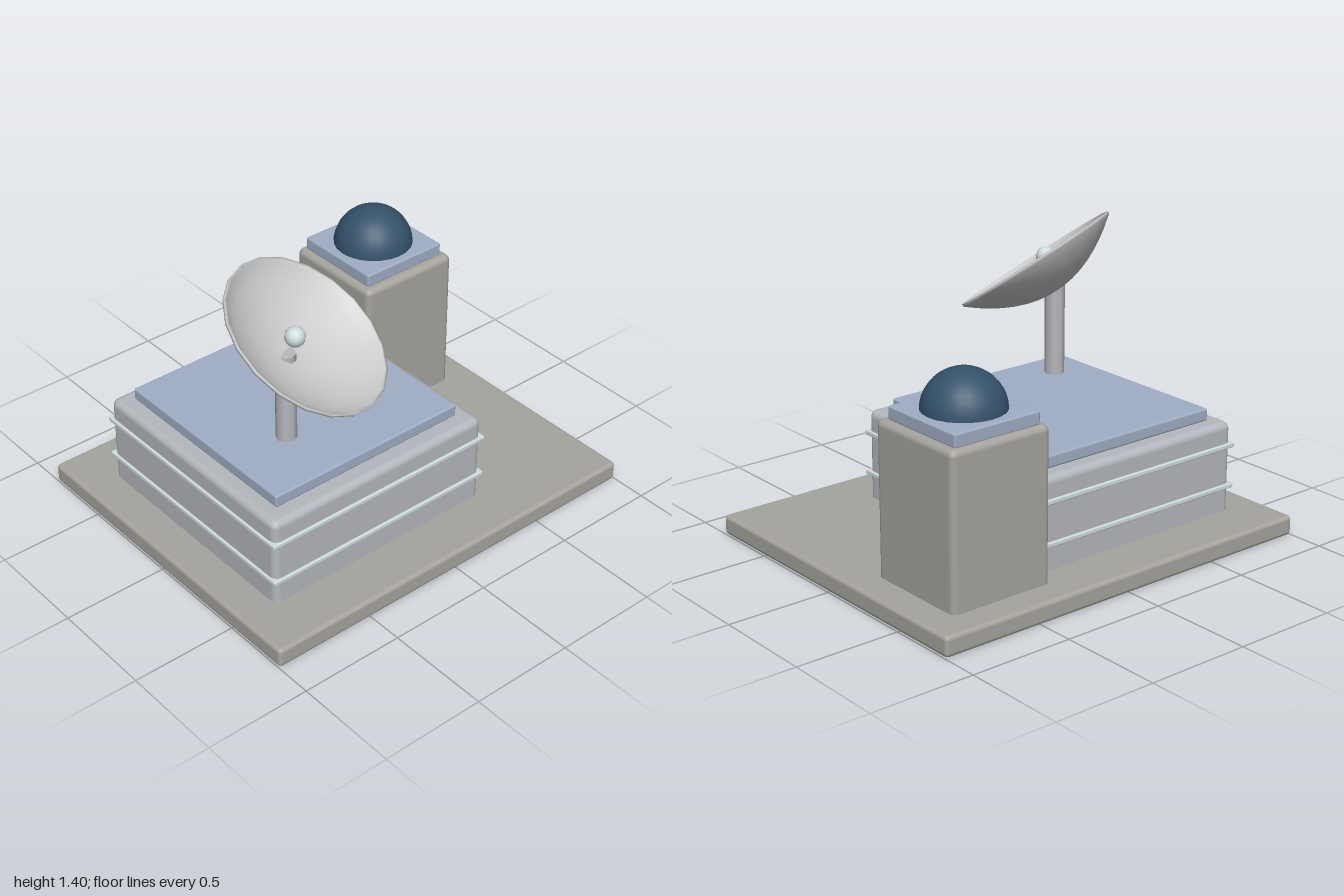
import * as THREE from 'three';
import { RoundedBoxGeometry } from 'three/addons/geometries/RoundedBoxGeometry.js';

const paint = (color, side = THREE.FrontSide) => new THREE.MeshStandardMaterial({ color, side });

export function createModel() {
  const model = new THREE.Group();
  const concrete = paint(0xa6a49d);
  const wall = paint(0xb4b7bd);
  const panel = paint(0x9fadc4);
  const trim = paint(0xcfdcde);
  const metal = paint(0xb8b8be);
  const glass = paint(0x34526b);

  const add = (name, geometry, material, x, y, z, parent = model) => {
    const mesh = new THREE.Mesh(geometry, material);
    mesh.name = name;
    mesh.position.set(x, y, z);
    parent.add(mesh);
    return mesh;
  };
  // Box with softened edges, placed by its underside and top
  const block = (name, material, x, z, w, d, y0, y1, r) =>
    add(name, new RoundedBoxGeometry(w, y1 - y0, d, 2, r), material, x, (y0 + y1) / 2, z);

  block('basePlate', concrete, 0, 0, 2, 1.66, 0, 0.095, 0.02);

  // Main building with trim bands and roof panel
  block('mainBuilding', wall, -0.24, 0, 1.18, 1.18, 0.003, 0.525, 0.035);
  for (const y of [0.215, 0.412])
    block('trimBand', trim, -0.24, 0, 1.202, 1.202, y - 0.012, y + 0.012, 0.006);
  block('roofPanel', panel, -0.24, -0.005, 1.02, 1.02, 0.525, 0.585, 0.01);

  // Tower with cap and dome
  block('tower', concrete, 0.595, -0.43, 0.52, 0.52, 0.06, 0.81, 0.03);
  block('towerCap', panel, 0.593, -0.435, 0.45, 0.45, 0.805, 0.87, 0.01);
  add('dome', new THREE.SphereGeometry(0.188, 24, 10, 0, Math.PI * 2, 0, Math.PI / 2),
    glass, 0.592, 0.859, -0.435);

  // Dish on its mast; local +y is the direction it faces
  add('mast', new THREE.CylinderGeometry(0.047, 0.047, 0.435, 8), metal, -0.48, 0.8375, 0.24);
  const dish = new THREE.Group();
  dish.name = 'dishAssembly';
  dish.position.set(-0.43, 1.163, 0.322);
  dish.quaternion.setFromUnitVectors(
    new THREE.Vector3(0, 1, 0), new THREE.Vector3(0.288, 0.816, 0.5).normalize());
  model.add(dish);

  // Shell profile: outside from centre to rim, over the lip, back along the inside
  const profile = [];
  const bowl = (r, depth) => -depth * (1 - (r / 0.4) ** 2);
  for (let i = 0; i <= 8; i++) profile.push(new THREE.Vector2(0.4 * i / 8, bowl(0.4 * i / 8, 0.17) - 0.008));
  profile.push(new THREE.Vector2(0.402, 0.006), new THREE.Vector2(0.388, 0.008));
  for (let i = 7; i >= 0; i--) profile.push(new THREE.Vector2(0.38 * i / 7, bowl(0.38 * i / 7, 0.148)));
  add('dish', new THREE.LatheGeometry(profile, 20), paint(0xc0c0c4, THREE.DoubleSide), 0, 0, 0, dish);

  // Receiver ball hovering at the focus
  add('receiver', new THREE.SphereGeometry(0.046, 12, 8), trim, -0.48, 1.172, 0.308);
  return model;
}
